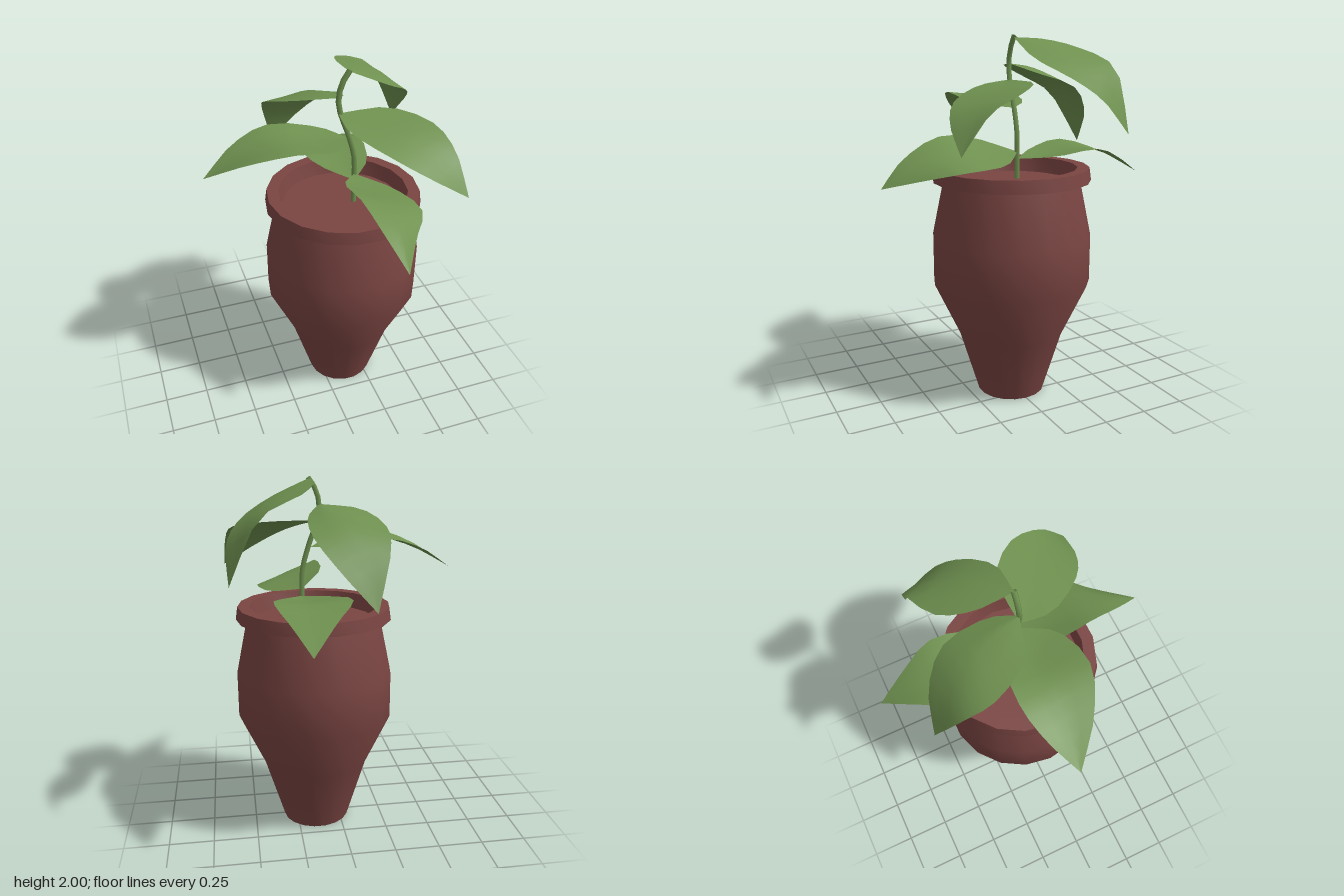
import * as THREE from 'three';
import { toCreasedNormals } from 'three/addons/utils/BufferGeometryUtils.js';

const CX = 0.135; // the pot sits off centre, balancing the foliage

export function createModel() {
  const model = new THREE.Group();
  model.name = 'pottedPlant';
  const clay = new THREE.MeshStandardMaterial({ name: 'clay', color: 0x7a4542 });
  const green = new THREE.MeshStandardMaterial({ name: 'leafGreen', color: 0x6f9150, side: THREE.DoubleSide });

  const add = (name, geometry, material) => {
    const mesh = new THREE.Mesh(geometry, material);
    mesh.name = name;
    model.add(mesh);
    return mesh;
  };

  // Eighteen-sided turned parts
  const turned = (name, profile) => {
    const points = profile.map(([r, y]) => new THREE.Vector2(r, y));
    const geo = new THREE.LatheGeometry(points, 18, Math.PI / 18);
    add(name, toCreasedNormals(geo, 0.75), clay).position.x = CX;
  };
  turned('potBody', [[0, 0], [0.19, 0], [0.3, 0.36], [0.44, 0.66], [0.44, 0.92], [0.375, 1.23]]);
  turned('potRim', [[0.37, 1.225], [0.435, 1.23], [0.425, 1.3], [0.36, 1.3], [0.34, 1.215]]);
  turned('soil', [[0.345, 1.215], [0, 1.215]]);

  // Bent stem
  const stemPath = new THREE.CatmullRomCurve3([
    [0.2, 1.2], [0.2, 1.36], [0.195, 1.5], [0.16, 1.63], [0.11, 1.77], [0.1, 1.85], [0.12, 1.93], [0.158, 1.99],
  ].map(([x, y]) => new THREE.Vector3(x, y, 0)));
  add('stem', new THREE.TubeGeometry(stemPath, 14, 0.015, 6), green);

  // A leaf is a sheet stretched over its two edges and its midrib
  const STEPS = 10;
  const leaf = (name, base, tip, sideA, rib, sideB) => {
    const rails = [sideA, rib, sideB].map((pts) =>
      new THREE.CatmullRomCurve3([base, ...pts, tip].map((p) => new THREE.Vector3(...p))).getPoints(STEPS));
    const pos = [];
    const index = [];
    for (let i = 0; i <= STEPS; i++) {
      const [a, m, b] = rails.map((r) => r[i]);
      const row = [a, a.clone().lerp(m, 0.5), m, m.clone().lerp(b, 0.5), b];
      row.forEach((p) => pos.push(p.x, p.y, p.z));
      if (i === STEPS) break;
      for (let j = 0; j < 4; j++) {
        const k = i * 5 + j;
        index.push(k, k + 1, k + 5, k + 1, k + 6, k + 5);
      }
    }
    const geo = new THREE.BufferGeometry();
    geo.setAttribute('position', new THREE.Float32BufferAttribute(pos, 3));
    geo.setIndex(index);
    geo.computeVertexNormals();
    add(name, geo, green);
  };

  leaf('topLeaf', [0.155, 1.985, 0], [0.6, 1.5, -0.43],
    [[0.15, 1.975, -0.2], [0.23, 1.93, -0.36], [0.44, 1.83, -0.445]],
    [[0.28, 1.94, -0.1], [0.4, 1.88, -0.22], [0.52, 1.76, -0.34]],
    [[0.38, 1.88, 0], [0.54, 1.78, -0.13], [0.605, 1.68, -0.26]]);

  leaf('upperBackLeaf', [0.1, 1.85, 0], [-0.11, 1.38, -0.58],
    [[-0.11, 1.83, -0.08], [-0.21, 1.76, -0.27], [-0.2, 1.67, -0.43]],
    [[0.06, 1.83, -0.15], [0.0, 1.77, -0.32], [-0.06, 1.62, -0.47]],
    [[0.175, 1.8, -0.13], [0.175, 1.72, -0.37], [0.06, 1.57, -0.515]]);

  leaf('upperFrontLeaf', [0.1, 1.765, 0], [0.62, 1.45, 0.51],
    [[0.38, 1.76, 0.005], [0.56, 1.72, 0.17], [0.605, 1.64, 0.35]],
    [[0.25, 1.735, 0.13], [0.38, 1.7, 0.26], [0.52, 1.61, 0.4]],
    [[0.1, 1.74, 0.17], [0.25, 1.67, 0.385], [0.41, 1.58, 0.475]]);

  leaf('sideLeaf', [0.15, 1.62, 0], [-0.625, 1.5, -0.02],
    [[0.04, 1.64, 0.17], [-0.2, 1.69, 0.23], [-0.42, 1.63, 0.145]],
    [[-0.03, 1.635, 0.01], [-0.22, 1.665, 0.01], [-0.42, 1.61, 0]],
    [[0.04, 1.64, -0.12], [-0.24, 1.68, -0.165], [-0.44, 1.62, -0.12]]);

  leaf('lowerFrontLeaf', [0.2, 1.39, 0], [0.195, 1.25, 0.76],
    [[0.07, 1.46, 0.2], [0.08, 1.48, 0.4], [0.13, 1.38, 0.62]],
    [[0.2, 1.4, 0.2], [0.22, 1.42, 0.4], [0.22, 1.36, 0.6]],
    [[0.37, 1.35, 0.15], [0.43, 1.34, 0.39], [0.32, 1.3, 0.56]]);

  leaf('lowerBackLeaf', [0.2, 1.35, 0], [0.23, 1.23, -0.77],
    [[0.05, 1.38, -0.17], [-0.02, 1.41, -0.4], [0.09, 1.35, -0.59]],
    [[0.19, 1.36, -0.2], [0.18, 1.39, -0.4], [0.2, 1.33, -0.6]],
    [[0.34, 1.37, -0.16], [0.38, 1.4, -0.4], [0.31, 1.33, -0.59]]);

  return model;
}
